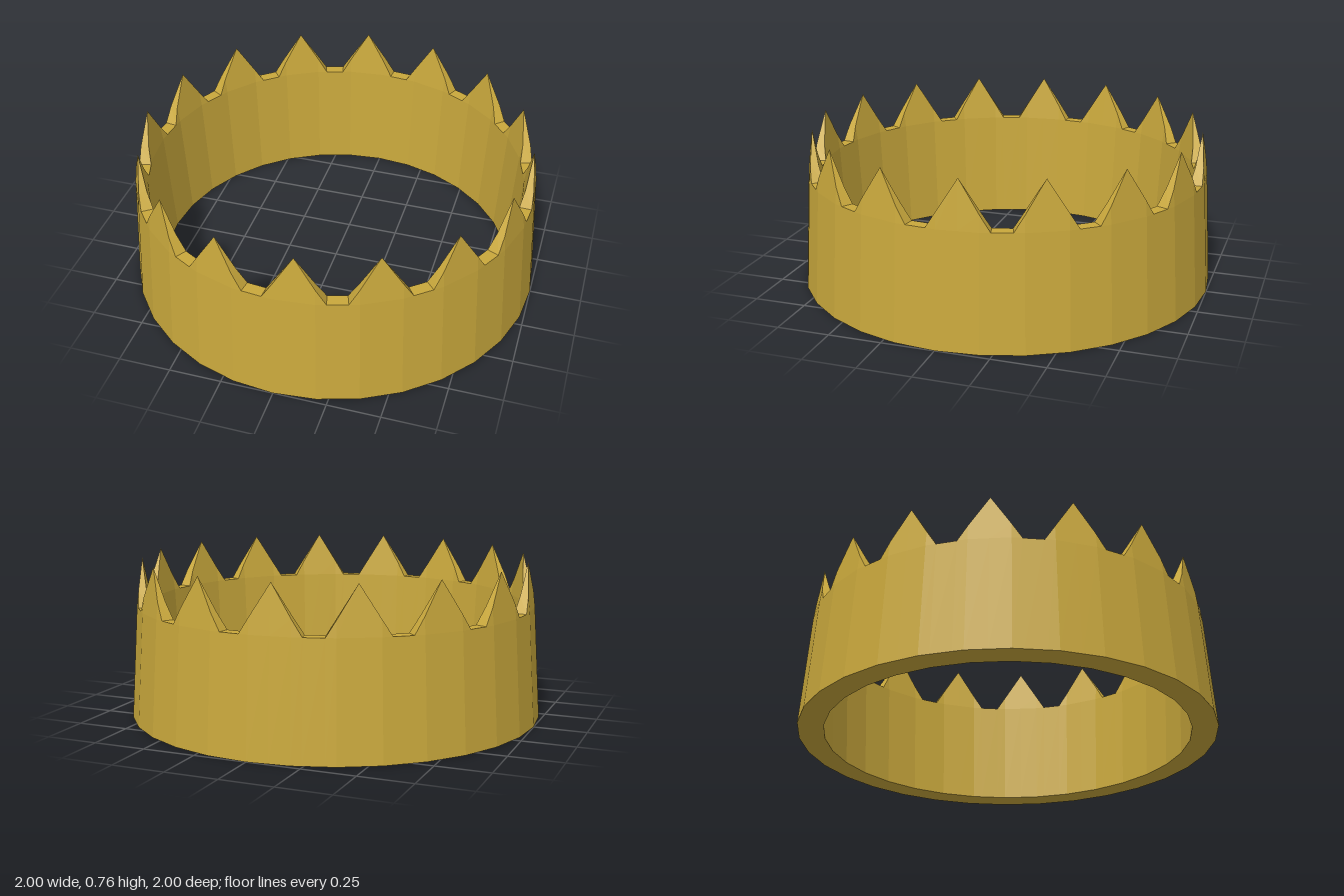
import * as THREE from 'three';

const SPIKES = 16;
const STEP = (Math.PI * 2) / SPIKES; // one spike and one notch
const FACET = STEP / 2; // the ring has 32 flat sides
const NOTCH = 0.049; // half angle of a notch floor
const SHOULDER = 0.54;
const TIP = 0.763;

// Point on the 32-sided ring: r is the corner radius
function ringPoint(angle, r, y) {
  const k = Math.round(angle / FACET - 0.5);
  const fromMiddle = angle - (k + 0.5) * FACET;
  const d = (r * Math.cos(FACET / 2)) / Math.cos(fromMiddle);
  return [Math.sin(angle) * d, y, Math.cos(angle) * d];
}

// Flat quad, leaving out triangles that collapse
function addQuad(out, a, b, c, d) {
  const v = [a, b, c, d].map((p) => new THREE.Vector3(...p));
  for (const [i, j, k] of [[0, 1, 2], [0, 2, 3]]) {
    if (new THREE.Triangle(v[i], v[j], v[k]).getArea() < 1e-7) continue;
    for (const n of [i, j, k]) out.push(v[n].x, v[n].y, v[n].z);
  }
}

function toMesh(positions, material, name) {
  const geometry = new THREE.BufferGeometry();
  geometry.setAttribute('position', new THREE.Float32BufferAttribute(positions, 3));
  geometry.computeVertexNormals();
  const mesh = new THREE.Mesh(geometry, material);
  mesh.name = name;
  return mesh;
}

export function createModel() {
  const group = new THREE.Group();
  group.name = 'crown';
  const gold = new THREE.MeshStandardMaterial({ color: 0xc9a83c, flatShading: true });

  // Columns of one repeat: angle from the notch middle, and rise from shoulder (0) to tip (1)
  const half = FACET / 2;
  const rise = (half - NOTCH) / (FACET - NOTCH);
  const columns = [
    [-NOTCH, 0], [NOTCH, 0], [half, rise], [FACET, 1], [FACET + half, rise], [STEP - NOTCH, 0],
  ];

  // Wall section at a column: thins to the shoulder, then to a point at the tip
  const section = (angle, t) => {
    const y = THREE.MathUtils.lerp(SHOULDER, TIP, t);
    return {
      outer: [ringPoint(angle, 1, 0), ringPoint(angle, 0.965, SHOULDER),
        ringPoint(angle, THREE.MathUtils.lerp(0.965, 0.939, t), y)],
      inner: [ringPoint(angle, 0.877, 0), ringPoint(angle, 0.907, SHOULDER),
        ringPoint(angle, THREE.MathUtils.lerp(0.907, 0.939, t), y)],
    };
  };

  const band = [];
  const spikes = [];
  for (let s = 0; s < SPIKES; s++) {
    const start = s * STEP - half;
    for (let c = 0; c < columns.length - 1; c++) {
      const p = section(start + columns[c][0], columns[c][1]);
      const q = section(start + columns[c + 1][0], columns[c + 1][1]);
      // Band (row 0) and spike (row 1) walls, outside and inside
      [band, spikes].forEach((out, i) => {
        addQuad(out, p.outer[i], q.outer[i], q.outer[i + 1], p.outer[i + 1]);
        addQuad(out, q.inner[i], p.inner[i], p.inner[i + 1], q.inner[i + 1]);
      });
      // Underside of the ring
      addQuad(band, p.inner[0], q.inner[0], q.outer[0], p.outer[0]);
      // Notch floor or sloping spike edge
      addQuad(c === 0 ? band : spikes, p.outer[2], q.outer[2], q.inner[2], p.inner[2]);
    }
  }

  group.add(toMesh(band, gold, 'band'), toMesh(spikes, gold, 'spikes'));
  return group;
}
